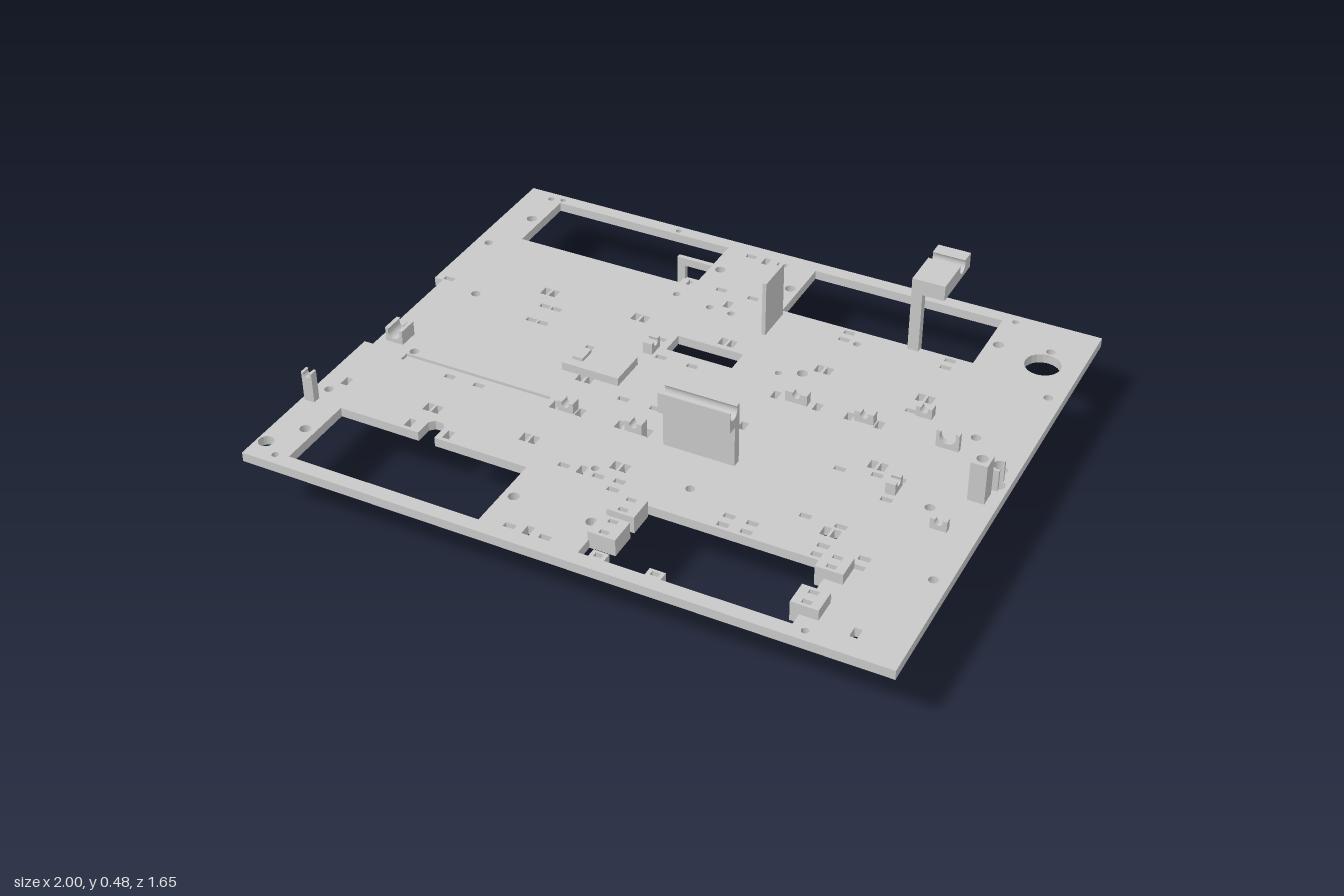
import * as THREE from 'three';

const T = 0.23, B = 0.2; // top and underside of the base plate

export function createModel() {
  const model = new THREE.Group();
  model.name = 'mountingPlate';
  const grey = new THREE.MeshStandardMaterial({ color: 0xc8c8c8 });
  grey.name = 'plainGrey';

  const add = (geo, name) => {
    const m = new THREE.Mesh(geo, grey);
    m.name = name;
    model.add(m);
    return m;
  };
  // box given by its limits on each axis
  const box = (name, x0, x1, y0, y1, z0, z1) => {
    const m = add(new THREE.BoxGeometry(x1 - x0, y1 - y0, z1 - z0), name);
    m.position.set((x0 + x1) / 2, (y0 + y1) / 2, (z0 + z1) / 2);
  };
  // outlines in plan: points run clockwise as seen from above and are reversed to wind outward
  const poly = (pts, C = THREE.Shape) => new C(pts.map(([x, z]) => new THREE.Vector2(x, -z)).reverse());
  const corners = (x0, x1, z0, z1) => [[x0, z0], [x1, z0], [x1, z1], [x0, z1]];
  const rect = (...limits) => poly(corners(...limits), THREE.Path);
  const round = (x, z, r) => new THREE.Path().absarc(x, -z, r, 0, Math.PI * 2, true);
  // horizontal slab extruded upward from y
  const slab = (name, shape, y, h) => {
    const g = new THREE.ExtrudeGeometry(shape, { depth: h, bevelEnabled: false, curveSegments: 10 });
    g.rotateX(-Math.PI / 2);
    add(g, name).position.y = y;
  };
  // rectangular slab with holes
  const plateWith = (name, limits, y0, y1, ...holes) => {
    const s = poly(corners(...limits));
    s.holes.push(...holes);
    slab(name, s, y0, y1 - y0);
  };
  // cradle: block with a round, narrow-mouthed groove in its top, running along x or z
  const cradle = (name, x0, x1, y0, y1, z0, z1, r, alongX = false, offset = 0) => {
    const w = alongX ? z1 - z0 : x1 - x0, d = alongX ? x1 - x0 : z1 - z0, h = y1 - y0;
    const lip = Math.asin(0.6);
    const s = new THREE.Shape();
    s.moveTo(-w / 2, 0);
    s.lineTo(w / 2, 0);
    s.lineTo(w / 2, h);
    s.absarc(offset, h - r * 0.6, r, lip, Math.PI - lip, true);
    s.lineTo(-w / 2, h);
    const g = new THREE.ExtrudeGeometry(s, { depth: d, bevelEnabled: false, curveSegments: 10 });
    g.translate(0, 0, -d / 2);
    if (alongX) g.rotateY(Math.PI / 2);
    add(g, name).position.set((x0 + x1) / 2, y0, (z0 + z1) / 2);
  };

  // ---- Base plate with an edge recess on its right side
  const plate = poly([[-1, -0.825], [1, -0.825], [1, 0.825], [-1, 0.825],
    [-1, 0.2], [-0.97, 0.2], [-0.97, -0.2], [-1, -0.2]]);
  const cut = (...p) => plate.holes.push(...p);

  // large windows, centre slot and shallow groove
  cut(rect(-0.87, -0.245, -0.78, -0.525), rect(0.065, 0.695, -0.78, -0.525), rect(0.065, 0.695, 0.52, 0.78));
  cut(poly([[-0.87, 0.52], [-0.605, 0.52], [-0.605, 0.465], [-0.59, 0.45], [-0.565, 0.45],
    [-0.55, 0.465], [-0.55, 0.52], [-0.245, 0.52], [-0.245, 0.78], [-0.87, 0.78]], THREE.Path));
  cut(rect(-0.16, 0.06, -0.255, -0.175), rect(-0.85, -0.35, 0.197, 0.23));

  // small upright slots, listed as row z and x positions
  const upright = [
    [-0.29, -0.645, -0.615, -0.325, -0.295, -0.025, 0.005, 0.295, 0.325, 0.62, 0.65],
    [0.07, -0.93, -0.32, -0.29, -0.025, 0.005, 0.175, 0.215, 0.62, 0.65],
    [0.4, -0.93, -0.645, -0.615, -0.32, -0.29, -0.025, 0.005, 0.62, 0.65],
    [0.225, -0.32, -0.235, -0.105, -0.015], [-0.11, 0.235, 0.37, 0.47, 0.565],
    [-0.76, -0.1], [0.76, -0.1], [-0.48, -0.1], [0.46, -0.1], [0.74, 0.855], [0.49, -0.65, -0.52],
  ];
  // small lying slots
  const lying = [
    [-0.765, -0.155, -0.045], [-0.545, -0.155, -0.045], [0.465, -0.155, -0.045], [0.765, -0.155, -0.045],
    [-0.215, -0.955, -0.605, -0.565, -0.2, 0.62], [-0.13, -0.605, -0.565, -0.155, -0.05],
    [0.11, -0.155, -0.05, 0.65], [0.242, -0.67, -0.57], [-0.505, 0.3, 0.63], [-0.465, 0.3, 0.63],
    [0.46, 0.02, 0.36, 0.43, 0.64, 0.76], [0.5, 0.02, 0.36, 0.43, 0.64, 0.76], [0.365, 0.545, 0.65],
    [0.13, 0.545], [0.1, 0.715], [0.2, 0.715],
  ];
  const slots = (rows, w, h) => {
    for (const [z, ...xs] of rows) for (const x of xs) cut(rect(x - w / 2, x + w / 2, z - h / 2, z + h / 2));
  };
  slots(upright, 0.022, 0.036);
  slots(lying, 0.034, 0.018);

  // round holes: mirrored front to back, then singles
  for (const s of [-1, 1]) {
    for (const x of [-0.905, -0.21, 0.035, 0.73]) cut(round(x, s * 0.65, 0.017));
    for (const x of [-0.955, 0.955]) cut(round(x, s * 0.457, 0.014));
    for (const x of [-0.835, 0.835]) cut(round(x, s * 0.178, 0.015));
    for (const x of [-0.91, 0.735]) cut(round(x, s * 0.79, 0.011));
    cut(round(-0.07, s * 0.438, 0.012));
  }
  for (const [x, z, r] of [[0.885, -0.61, 0.056], [0.885, -0.685, 0.014], [-0.87, -0.8, 0.01],
    [-0.435, -0.8, 0.01], [-0.27, -0.46, 0.012], [0.345, -0.46, 0.012], [-0.145, -0.44, 0.012],
    [0.195, -0.215, 0.011], [0.26, -0.245, 0.017], [0.21, 0.4, 0.014], [0.955, -0.07, 0.015],
    [-0.97, 0.75, 0.024], [0.968, 0, 0.02], [0.937, 0.07, 0.017]]) cut(round(x, z, r));
  slab('basePlate', plate, B, T - B);
  box('grooveFloor', -0.85, -0.35, B, B + 0.02, 0.197, 0.23);

  // ---- Small cable clips
  for (const [x0, x1, z0, z1] of [[-0.3, -0.25, 0.21, 0.243], [-0.08, -0.025, 0.21, 0.243],
    [0.27, 0.34, -0.125, -0.098], [0.49, 0.55, -0.125, -0.098], [0.64, 0.69, -0.23, -0.2],
    [0.865, 0.915, 0.24, 0.26]])
    cradle('cableClip', x0, x1, T, 0.265, z0, z1, 0.012);
  cradle('largeClip', 0.745, 0.815, T, 0.287, -0.107, -0.09, 0.025);
  for (const [x, z] of [[-0.2, -0.155], [0.715, 0.148]])
    cradle('cableClip', x - 0.015, x + 0.015, T, 0.268, z - 0.027, z + 0.027, 0.012, true);

  // ---- Edge supports
  cradle('edgePost', -0.99, -0.955, T, 0.33, 0.507, 0.532, 0.011);
  cradle('edgeCradle', -0.945, -0.885, T, 0.277, 0.1, 0.165, 0.021);
  plateWith('sidePillar', [0.913, 0.963, 0.045, 0.1], T, 0.36, round(0.937, 0.07, 0.017));
  const collar = new THREE.Shape();
  collar.moveTo(0.925, -0.028);
  collar.lineTo(0.975, -0.028);
  collar.absarc(0.968, 0, 0.02, -1.213, 1.213, true);
  collar.lineTo(0.975, 0.028);
  collar.lineTo(0.925, 0.028);
  slab('sideCollar', collar, T, 0.07);

  // ---- Low holder with a raised inner step
  plateWith('lowHolder', [-0.39, -0.2, -0.065, 0.06], T, 0.257, rect(-0.365, -0.34, -0.053, -0.035));
  box('holderStep', -0.37, -0.335, T, 0.268, -0.025, 0.03);

  // ---- Upright card with an overhanging grooved head
  box('cardWall', 0.05, 0.275, T, 0.37, 0.225, 0.253);
  box('cardFoot', 0.06, 0.265, T, 0.265, 0.215, 0.225);
  cradle('cardHead', 0.05, 0.275, 0.365, 0.432, 0.225, 0.285, 0.022, true, -0.006);

  // ---- Thin fin
  box('fin', 0.062, 0.075, T, 0.415, -0.507, -0.378);

  // ---- Tall hook over the rear window
  box('hookColumn', 0.49, 0.525, B, 0.44, -0.535, -0.507);
  cradle('hookBeam', 0.49, 0.595, 0.433, 0.483, -0.718, -0.507, 0.022, true, 0.04);

  // ---- Bracket tabs at the front window
  const tab = (x0, x1, z0, z1, y) => {
    const c = (x0 + x1) / 2;
    const hole = (z) => rect(c - 0.014, c + 0.014, z, z + 0.015);
    plateWith('tab', [x0, x1, z0, z1], B, y, hole(z0 + 0.01), hole(z1 - 0.025));
  };
  tab(0.06, 0.145, 0.528, 0.61, 0.255);
  tab(0.06, 0.145, 0.633, 0.718, 0.255);
  tab(0.668, 0.75, 0.507, 0.583, 0.264);
  tab(0.668, 0.75, 0.663, 0.74, 0.264);
  for (const x of [0.12, 0.29])
    plateWith('loop', [x - 0.024, x + 0.024, 0.75, 0.782], B, T, rect(x - 0.012, x + 0.012, 0.758, 0.774));

  // ---- Leg below the plate with a thin toe
  box('leg', 0.59, 0.615, 0, B, -0.175, -0.15);
  box('legToe', 0.572, 0.615, 0.031, 0.036, -0.15, -0.095);
  box('legSole', 0.572, 0.59, 0, 0.006, -0.175, -0.15);

  // ---- Hanging C-shaped bracket below the rear window
  box('bracketTop', -0.39, -0.2, 0.173, B, -0.716, -0.7);
  box('bracketSide', -0.39, -0.362, 0.12, 0.173, -0.716, -0.7);
  box('bracketBottom', -0.39, -0.2, 0.095, 0.12, -0.716, -0.7);
  plateWith('bracketShelf', [-0.357, -0.2, -0.7, -0.595], 0.095, 0.122,
    rect(-0.352, -0.33, -0.697, -0.685), rect(-0.352, -0.33, -0.615, -0.602));
  box('bracketStop', -0.357, -0.335, 0.122, 0.138, -0.682, -0.63);

  return model;
}
